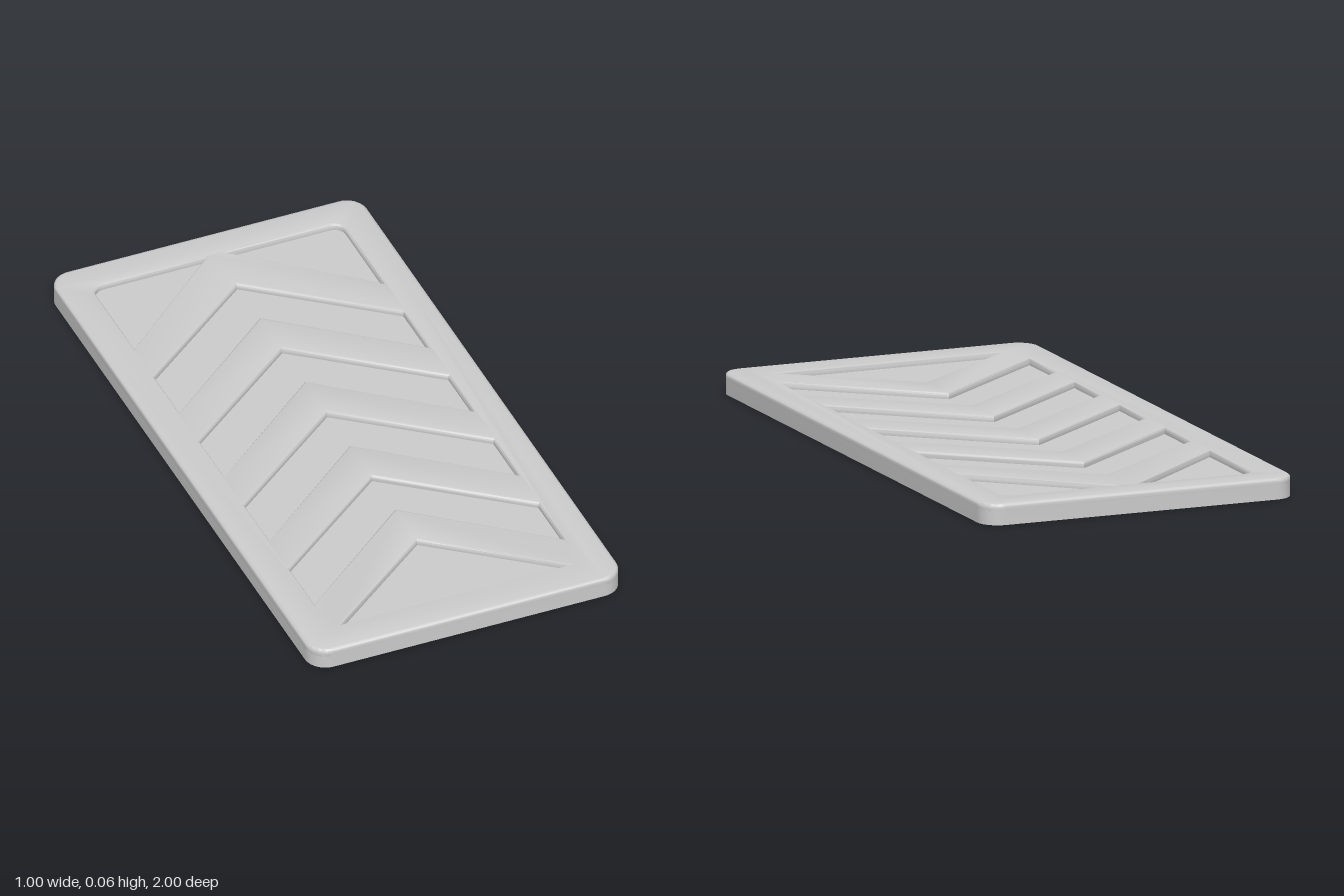
import * as THREE from 'three';
import { toCreasedNormals } from 'three/addons/utils/BufferGeometryUtils.js';

const HALF_W = 0.4;      // half width of the recessed field
const HALF_L = 0.9;      // half length of the recessed field
const PITCH = 0.3375;    // spacing of the raised chevrons
const FLOOR = 0.045;
const TOP = 0.064;
const BEVEL = 0.009;

// Shapes are drawn in (x, z); the extrusion then becomes height.
function roundedRect(w, l, r) {
  const s = new THREE.Shape();
  s.moveTo(-w + r, -l);
  s.lineTo(w - r, -l);
  s.absarc(w - r, -l + r, r, -Math.PI / 2, 0);
  s.lineTo(w, l - r);
  s.absarc(w - r, l - r, r, 0, Math.PI / 2);
  s.lineTo(-w + r, l);
  s.absarc(-w + r, l - r, r, Math.PI / 2, Math.PI);
  s.lineTo(-w, -l + r);
  s.absarc(-w + r, -l + r, r, Math.PI, Math.PI * 1.5);
  return s;
}

const polygon = (pts) => new THREE.Path(pts.map(([x, z]) => new THREE.Vector2(x, z)));

// Front and back edges of raised chevron i at distance x from the middle
const backEdge = (i, x) => -0.908 + i * PITCH + 0.825 * x;
const frontEdge = (i, x) => -0.742 + i * PITCH + 0.785 * x;

// Extrude along y, with z kept pointing to the front
function extrudeUp(shape, options) {
  const geo = new THREE.ExtrudeGeometry(shape, { curveSegments: 5, steps: 1, ...options });
  geo.rotateX(Math.PI / 2);       // (x, z, h) -> (x, -h, z)
  return geo;
}

export function createModel() {
  const group = new THREE.Group();
  const material = new THREE.MeshStandardMaterial({ color: 0xcccccc });

  const add = (name, geo, top) => {
    const mesh = new THREE.Mesh(toCreasedNormals(geo, 0.6), material);
    mesh.name = name;
    mesh.position.y = top;
    group.add(mesh);
  };

  // Solid slab whose top is the floor of the recesses
  add('base', extrudeUp(roundedRect(0.5, 1, 0.065), { depth: FLOOR, bevelEnabled: false }), FLOOR);

  // Rim and raised chevrons: one bevelled plate with recesses cut through it
  const plate = roundedRect(0.5, 1, 0.065);

  // Two back corner recesses with a rounded outer corner
  for (const side of [-1, 1]) {
    const r = 0.035;
    const pts = [[0.035, -HALF_L + 0.003], [HALF_W - r, -HALF_L + 0.003]];
    for (let k = 1; k <= 4; k++) {
      const a = (k / 4) * Math.PI / 2;
      pts.push([HALF_W - r + r * Math.sin(a), -HALF_L + 0.003 + r - r * Math.cos(a)]);
    }
    pts.push([HALF_W, backEdge(0, HALF_W)]);
    plate.holes.push(polygon(pts.map(([x, z]) => [side * x, z])));
  }

  // Chevron recesses between neighbouring raised chevrons
  for (let i = 0; i < 4; i++) {
    plate.holes.push(polygon([
      [-HALF_W, frontEdge(i, HALF_W)], [0, frontEdge(i, 0)], [HALF_W, frontEdge(i, HALF_W)],
      [HALF_W, backEdge(i + 1, HALF_W)], [0, backEdge(i + 1, 0)], [-HALF_W, backEdge(i + 1, HALF_W)],
    ]));
  }

  // Front triangular recess
  const tip = (HALF_L - 0.005 - frontEdge(4, 0)) / 0.785;
  plate.holes.push(polygon([[-tip, HALF_L - 0.005], [0, frontEdge(4, 0)], [tip, HALF_L - 0.005]]));

  const thickness = 0.014;
  add('rimAndChevrons', extrudeUp(plate, {
    depth: thickness, bevelEnabled: true, bevelThickness: BEVEL,
    bevelSize: BEVEL, bevelOffset: -BEVEL, bevelSegments: 3,
  }), TOP - BEVEL);

  return group;
}
